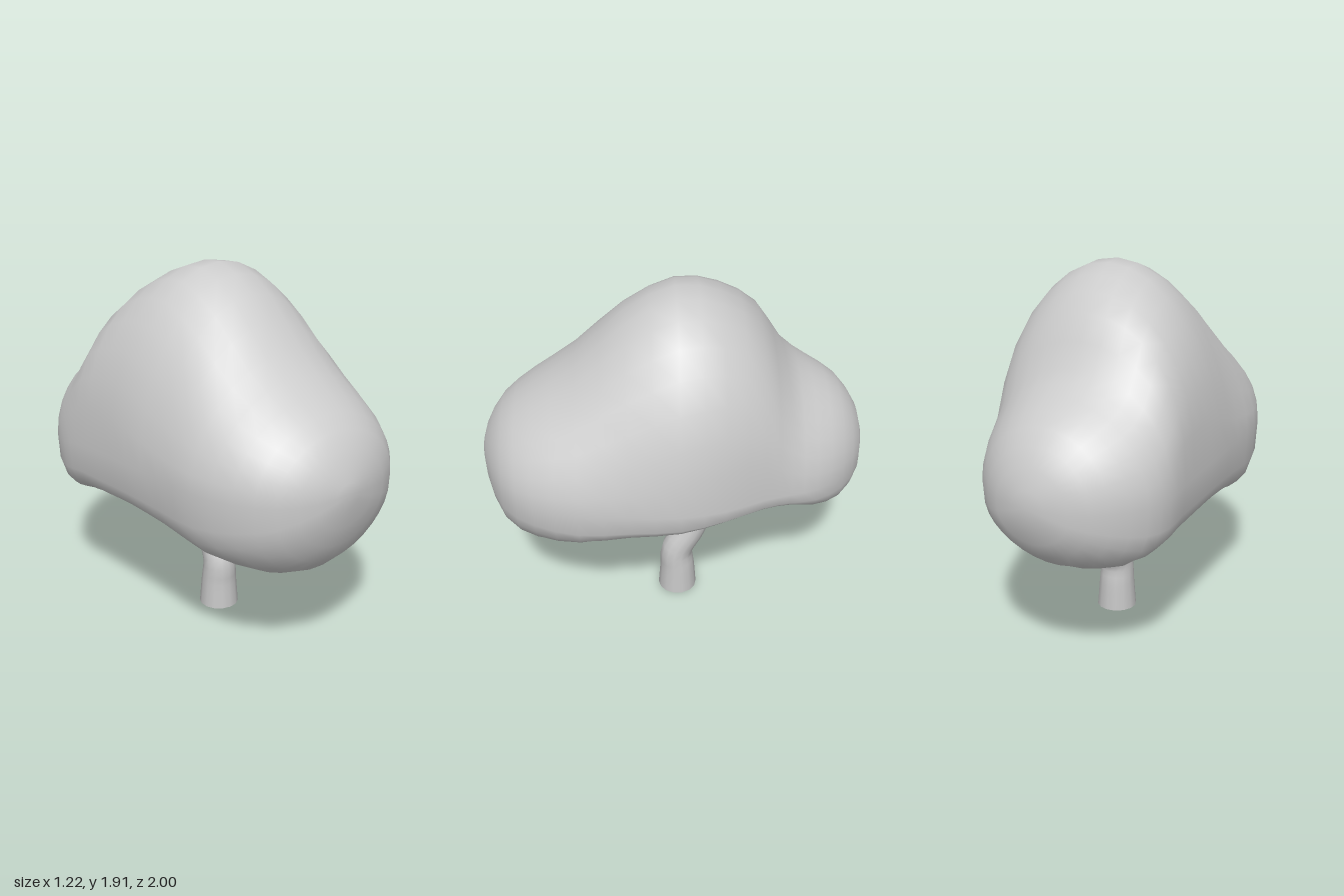
import * as THREE from 'three';
import { mergeVertices } from 'three/addons/utils/BufferGeometryUtils.js';

const material = new THREE.MeshStandardMaterial({ color: 0xcccccc });
const V = (x, y, z) => new THREE.Vector3(x, y, z);

// Tapered limb along a smooth path, closed at both ends
function limb(name, points, r0, r1, sides = 14) {
  const group = new THREE.Group();
  group.name = name;
  const steps = 18;
  const path = new THREE.CatmullRomCurve3(points);
  const geo = new THREE.TubeGeometry(path, steps, 1, sides);
  const pos = geo.attributes.position;
  const p = V(0, 0, 0);
  for (let i = 0; i <= steps; i++) {
    const c = path.getPointAt(i / steps);
    const r = THREE.MathUtils.lerp(r0, r1, i / steps);
    for (let j = 0; j <= sides; j++) {
      const k = i * (sides + 1) + j;
      p.fromBufferAttribute(pos, k).sub(c).multiplyScalar(r).add(c);
      pos.setXYZ(k, p.x, p.y, p.z);
    }
  }
  const tube = new THREE.Mesh(geo, material);
  tube.name = name + 'Bark';
  group.add(tube);
  for (const end of [0, 1]) {
    const cap = new THREE.Mesh(new THREE.CircleGeometry(end ? r1 : r0, sides), material);
    cap.name = name + (end ? 'Tip' : 'Base');
    cap.position.copy(path.getPointAt(end));
    const dir = path.getTangentAt(end).multiplyScalar(end ? 1 : -1);
    cap.quaternion.setFromUnitVectors(V(0, 0, 1), dir);
    group.add(cap);
  }
  return group;
}

// Canopy cross-sections from front to back:
// z, top, height of widest line, -x edge, +x edge, underside at -x, middle, +x,
// shoulder power (below 1 is fuller, above 1 is leaner)
const sections = [
  [1.00, 1.00, 1.00, 0, 0, 1.00, 1.00, 1.00, 1],
  [0.97, 1.12, 0.98, -0.17, 0.17, 0.84, 0.82, 0.86, 1],
  [0.88, 1.27, 0.97, -0.34, 0.38, 0.66, 0.62, 0.70, 1],
  [0.72, 1.39, 0.97, -0.47, 0.51, 0.53, 0.52, 0.65, 1],
  [0.50, 1.55, 0.97, -0.55, 0.58, 0.44, 0.60, 0.60, 1.12],
  [0.25, 1.79, 0.97, -0.57, 0.60, 0.45, 0.77, 0.64, 1.17],
  [0.00, 1.91, 0.97, -0.59, 0.61, 0.47, 0.87, 0.67, 1],
  [-0.22, 1.86, 0.96, -0.60, 0.56, 0.47, 0.85, 0.74, 0.86],
  [-0.42, 1.71, 0.95, -0.61, 0.47, 0.48, 0.77, 0.77, 0.8],
  [-0.56, 1.48, 0.93, -0.61, 0.41, 0.47, 0.69, 0.75, 0.88],
  [-0.70, 1.37, 0.92, -0.57, 0.36, 0.50, 0.59, 0.70, 1],
  [-0.85, 1.27, 0.92, -0.46, 0.25, 0.61, 0.61, 0.67, 1],
  [-0.96, 1.11, 0.92, -0.30, 0.09, 0.76, 0.74, 0.76, 1],
  [-1.00, 0.93, 0.93, -0.10, -0.10, 0.93, 0.93, 0.93, 1],
];

// Rounded crown: domed above, hollowed underneath
function canopyGeometry() {
  const rows = (sections.length - 1) * 2, sides = 32;
  const columns = sections[0].map((_, c) =>
    new THREE.SplineCurve(sections.map((s, i) => new THREE.Vector2(i, s[c]))));
  const verts = [], index = [];
  for (let i = 0; i <= rows; i++) {
    const [z, top, wide, x0, x1, b0, bm, b1, power] =
      columns.map(c => c.getPoint(i / rows).y);
    for (let j = 0; j < sides; j++) {
      const a = (j / sides) * Math.PI * 2;
      const u = Math.cos(a), s = Math.sin(a);
      const under = bm + u * (b1 - b0) / 2 + u * u * ((b1 + b0) / 2 - bm);
      const y = s >= 0 ? wide + (top - wide) * Math.pow(s, power)
        : wide - (wide - under) * Math.pow(-s, 0.68);
      verts.push((x0 + x1) / 2 + u * (x1 - x0) / 2, y, z);
      if (i < rows) {
        const p = i * sides + j, q = i * sides + (j + 1) % sides;
        index.push(p, p + sides, q, q, p + sides, q + sides);
      }
    }
  }
  let geo = new THREE.BufferGeometry();
  geo.setAttribute('position', new THREE.Float32BufferAttribute(verts, 3));
  geo.setIndex(index);
  geo = mergeVertices(geo, 1e-4);
  geo.computeVertexNormals();
  return geo;
}

export function createModel() {
  const tree = new THREE.Group();
  tree.name = 'tree';

  const canopy = new THREE.Mesh(canopyGeometry(), material);
  canopy.name = 'canopy';
  tree.add(canopy);

  // Trunk leaning back, with one branch forward and one to the side
  tree.add(limb('trunk', [
    V(0.012, 0, -0.01), V(0.012, 0.13, -0.01), V(0.012, 0.26, -0.01),
    V(0.012, 0.40, -0.09), V(0.01, 0.52, -0.14), V(0.01, 0.77, -0.185),
  ], 0.106, 0.046));
  tree.add(limb('frontBranch', [
    V(0.01, 0.40, -0.07), V(0.01, 0.42, 0.0), V(0.01, 0.475, 0.075),
    V(0.01, 0.57, 0.135), V(0.01, 0.75, 0.17),
  ], 0.05, 0.033));
  tree.add(limb('sideBranch', [
    V(0.01, 0.50, -0.14), V(0.10, 0.53, -0.135), V(0.23, 0.63, -0.13), V(0.27, 0.81, -0.13),
  ], 0.044, 0.028));

  return tree;
}
